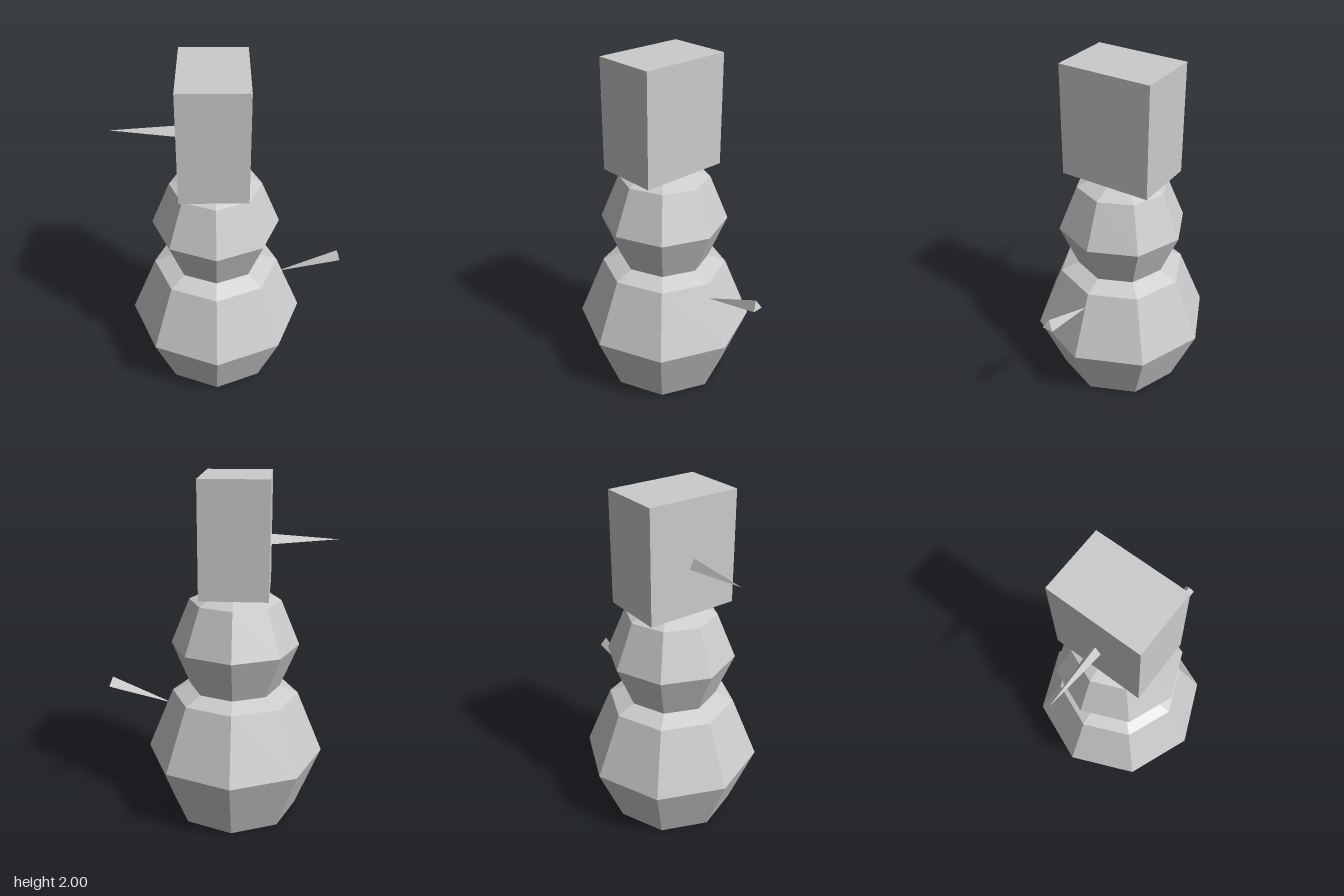
import * as THREE from 'three';

const material = new THREE.MeshStandardMaterial({ color: 0xcccccc, flatShading: true });
const openMaterial = new THREE.MeshStandardMaterial({ color: 0xcccccc, flatShading: true, side: THREE.DoubleSide });

// Three-sided spike with its base centre and tip at the given points, one edge on top
function spike(name, base, tip, radius) {
  const a = new THREE.Vector3(...base);
  const b = new THREE.Vector3(...tip);
  const length = a.distanceTo(b);
  const geometry = new THREE.ConeGeometry(radius, length, 3);
  geometry.translate(0, length / 2, 0).rotateY(Math.PI).rotateX(Math.PI / 2);
  const mesh = new THREE.Mesh(geometry, material);
  mesh.name = name;
  mesh.position.copy(a);
  mesh.lookAt(b);
  return mesh;
}

export function createModel() {
  const model = new THREE.Group();
  model.name = 'snowman';

  // Two stacked eight-sided snowballs, open underneath
  const profile = [
    [0.371, 0], [0.522, 0.37], [0.371, 0.74],
    [0.265, 0.784], [0.371, 1.04], [0.263, 1.303], [0.125, 1.361],
  ].map(([r, y]) => new THREE.Vector2(r, y));
  const body = new THREE.Mesh(new THREE.LatheGeometry(profile, 8), openMaterial);
  body.name = 'snowballs';
  body.position.x = -0.045;
  body.rotation.y = -0.097;
  model.add(body);

  // Block head, turned towards the front right corner
  const head = new THREE.Mesh(new THREE.BoxGeometry(0.544, 0.64, 0.378), material);
  head.name = 'head';
  head.position.set(-0.047, 1.68, 0.01);
  head.rotation.y = -0.895;
  model.add(head);

  // Nose tapers outwards, the stick arm tapers into the body
  model.add(spike('nose', [-0.19, 1.643, 0.127], [-0.48, 1.652, 0.365], 0.036));
  model.add(spike('arm', [0.533, 0.775, -0.468], [0.25, 0.65, -0.235], 0.037));

  return model;
}
